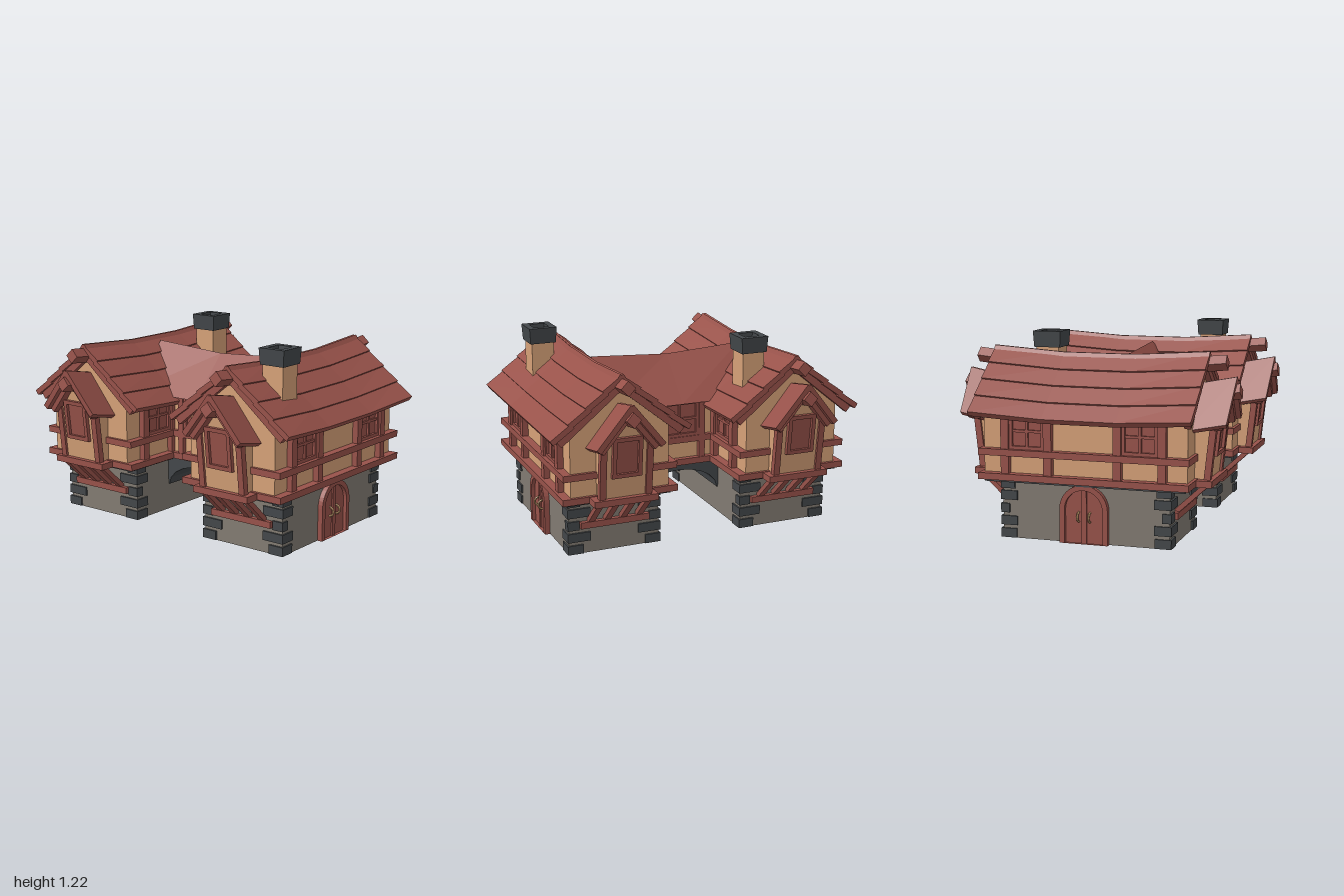
import * as THREE from 'three';

const paint = (name, color) => new THREE.MeshStandardMaterial({ name, color, flatShading: true });
const wood = paint('red wood', 0x98524a);
const plaster = paint('tan plaster', 0xd6a178);
const stone = paint('grey stone', 0x827b72);
const slate = paint('dark stone', 0x43474a);
const brass = paint('pale brass', 0xc9a070);

function add(parent, name, geo, mat) {
  const mesh = new THREE.Mesh(geo, mat);
  mesh.name = name;
  parent.add(mesh);
  return mesh;
}

// Box given by its centre, with the position baked in
const boxGeo = (w, h, d, x, y, z) => new THREE.BoxGeometry(w, h, d).translate(x, y, z);
const box = (parent, name, mat, w, h, d, x, y, z) => add(parent, name, boxGeo(w, h, d, x, y, z), mat);

function bend(geo, rule) {
  const p = geo.attributes.position, v = new THREE.Vector3();
  for (let i = 0; i < p.count; i++) {
    rule(v.fromBufferAttribute(p, i));
    p.setXYZ(i, v.x, v.y, v.z);
  }
  geo.computeVertexNormals();
  return geo;
}

const polygon = pts => new THREE.Shape(pts.map(([x, y]) => new THREE.Vector2(x, y)));

// Profile drawn in (z, y), extruded along x between two limits
function alongX(shape, x0, x1) {
  return new THREE.ExtrudeGeometry(shape, { depth: x1 - x0, bevelEnabled: false, curveSegments: 12 })
    .rotateY(-Math.PI / 2).translate(x1, 0, 0);
}

function archShape(r, straight, Kind = THREE.Shape) {
  const s = new Kind();
  s.moveTo(-r, 0);
  s.lineTo(r, 0);
  s.lineTo(r, straight);
  s.absarc(0, straight, r, 0, Math.PI, false);
  s.lineTo(-r, 0);
  return s;
}

// Four-pane window facing +z, centred on its origin
function windowPanel(w, h) {
  const g = new THREE.Group();
  g.name = 'window';
  box(g, 'pane', wood, w, h, 0.008, 0, 0, 0.004);
  for (const s of [-1, 1]) {
    box(g, 'windowSide', wood, 0.02, h, 0.025, s * (w / 2 - 0.01), 0, 0.012);
    box(g, 'windowRail', wood, w, 0.02, 0.025, 0, s * (h / 2 - 0.01), 0.012);
  }
  box(g, 'upright', wood, 0.016, h, 0.02, 0, 0, 0.01);
  box(g, 'crossbar', wood, w, 0.016, 0.02, 0, 0, 0.01);
  return g;
}

// Overhanging bay on the +x gable
function bay() {
  const g = new THREE.Group();
  g.name = 'bay';
  const lean = geo => bend(geo, v => { v.x += (v.y - 0.38) * 0.11; });
  const wall = polygon([[-0.15, 0.38], [0.15, 0.38], [0.15, 0.75], [0, 0.93], [-0.15, 0.75]]);
  add(g, 'bayWall', lean(alongX(wall, 0.58, 0.71)), plaster);
  for (const s of [-1, 1]) {
    add(g, 'bayPost', lean(boxGeo(0.04, 0.38, 0.04, 0.705, 0.57, s * 0.145)), wood);
    add(g, 'bayWindowSide', lean(boxGeo(0.03, 0.25, 0.025, 0.72, 0.655, s * 0.08)), wood);
    add(g, 'bayWindowRail', lean(boxGeo(0.03, 0.025, 0.185, 0.72, 0.655 + s * 0.113, 0)), wood);
    // tilted roof board and the rafter beneath it
    for (const [name, x, w, drop, len] of [['bayRoof', 0.715, 0.23, 0, 0.325], ['bayRafter', 0.775, 0.05, 0.035, 0.27]]) {
      const geo = new THREE.BoxGeometry(w, 0.035, len).rotateX(s * 0.89)
        .translate(x, 0.838 - drop, s * (0.098 - drop * 0.3));
      add(g, name, bend(geo, v => { v.y += (v.x - 0.75) * 0.2; v.x += (v.y - 0.75) * 0.06; }), wood);
    }
  }
  add(g, 'bayPane', lean(boxGeo(0.008, 0.23, 0.16, 0.712, 0.655, 0)), wood);
  box(g, 'baySill', wood, 0.17, 0.04, 0.4, 0.66, 0.38, 0);
  // ridge beam end
  add(g, 'bayRidgeEnd', new THREE.BoxGeometry(0.15, 0.065, 0.065).rotateX(Math.PI / 4).rotateZ(0.15).translate(0.795, 0.895, 0), wood);
  // struts standing on a ledge
  box(g, 'ledge', wood, 0.03, 0.04, 0.44, 0.535, 0.185, 0);
  for (let i = 0; i < 4; i++) {
    add(g, 'strut', new THREE.BoxGeometry(0.25, 0.03, 0.04).rotateZ(0.75)
      .translate(0.612, 0.285, -0.155 + i * 0.103), wood);
  }
  return g;
}

function chimney(x, z) {
  const g = new THREE.Group();
  g.name = 'chimney';
  box(g, 'chimneyStack', plaster, 0.145, 0.32, 0.145, 0, 0.98, 0);
  const rim = polygon([[-0.09, -0.09], [0.09, -0.09], [0.09, 0.09], [-0.09, 0.09]]);
  rim.holes.push(polygon([[-0.05, -0.05], [-0.05, 0.05], [0.05, 0.05], [0.05, -0.05]]));
  const cap = new THREE.ExtrudeGeometry(rim, { depth: 0.1, bevelEnabled: false }).rotateX(-Math.PI / 2).translate(0, 1.117, 0);
  add(g, 'chimneyCap', bend(cap, v => { if (v.y < 1.15) { v.x *= 0.93; v.z *= 0.93; } }), slate);
  box(g, 'flue', slate, 0.12, 0.04, 0.12, 0, 1.145, 0);
  g.position.set(x, 0, z);
  return g;
}

function door() {
  const g = new THREE.Group();
  g.name = 'door';
  const frame = archShape(0.15, 0.205);
  frame.holes.push(archShape(0.118, 0.205, THREE.Path));
  const opts = depth => ({ depth, bevelEnabled: false, curveSegments: 10 });
  add(g, 'doorFrame', new THREE.ExtrudeGeometry(frame, opts(0.035)), wood);
  add(g, 'doorLeaves', new THREE.ExtrudeGeometry(archShape(0.12, 0.205), opts(0.012)), wood);
  box(g, 'doorPost', wood, 0.03, 0.32, 0.02, 0, 0.16, 0.012);
  for (const s of [-1, 1]) {
    add(g, 'doorHandle', new THREE.TorusGeometry(0.028, 0.007, 5, 8, Math.PI).rotateZ(-Math.PI / 2)
      .rotateY(-Math.PI / 2).translate(s * 0.035, 0.16, 0.012), brass);
  }
  g.position.z = 0.288;
  return g;
}

function house(chimneyZ) {
  const g = new THREE.Group();
  // stone ground floor with corner blocks
  box(g, 'groundFloor', stone, 1.04, 0.36, 0.58, 0, 0.18, 0);
  const lx = [0.1, 0.105, 0.055, 0.105, 0.09], lz = [0.1, 0.145, 0.075, 0.145, 0.08];
  const ys = [0.03, 0.107, 0.183, 0.262, 0.332];
  for (const sx of [-1, 1]) for (const sz of [-1, 1]) ys.forEach((y, i) =>
    box(g, 'cornerBlock', slate, lx[i], 0.056, lz[i], sx * (0.532 - lx[i] / 2), y, sz * (0.3 - lz[i] / 2)));
  g.add(door());
  // timber-framed upper floor
  box(g, 'floorSlab', slate, 1.24, 0.02, 0.66, 0, 0.357, 0);
  box(g, 'bottomBeam', wood, 1.3, 0.04, 0.73, 0, 0.383, 0);
  const gable = polygon([[-0.31, 0.39], [0.31, 0.39], [0.31, 0.79], [0, 1.06], [-0.31, 0.79]]);
  add(g, 'upperWall', alongX(gable, -0.63, 0.63), plaster);
  for (const s of [-1, 1]) {
    box(g, 'middleBeam', wood, 1.3, 0.04, 0.05, 0, 0.53, s * 0.335);
    box(g, 'gableBeam', wood, 0.04, 0.04, 0.72, s * 0.63, 0.53, 0);
    for (const x of [-0.485, -0.215, 0.215, 0.485]) {
      box(g, 'post', wood, 0.05, 0.39, 0.04, x, 0.595, s * 0.328);
    }
    for (const x of [-0.35, 0.35]) {
      const w = windowPanel(0.22, 0.22);
      w.position.set(x, 0.66, s * 0.31);
      if (s < 0) w.rotation.y = Math.PI;
      g.add(w);
    }
    // ridge beam end
    add(g, 'ridgeEnd', new THREE.BoxGeometry(0.2, 0.065, 0.065).rotateX(Math.PI / 4)
      .rotateZ(s * 0.1).translate(s * 0.685, 1.062, 0), wood);
  }
  // overlapping roof boards, sagging in the middle
  const sag = v => { if (Math.abs(v.x) < 0.3) { v.y -= 0.03; v.z *= 0.935; } };
  const slope = Math.atan2(0.35, 0.43);
  for (const s of [-1, 1]) {
    for (let i = 0; i < 4; i++) {
      const t = (i + 0.5) / 4;
      const geo = new THREE.BoxGeometry(1.36, 0.034, 0.158, 3, 1, 1).rotateX(s * (slope - 0.07))
        .translate(0, 1.118 - 0.35 * t, s * (0.43 * t - 0.008));
      add(g, 'roofBoard', bend(geo, sag), wood);
    }
    for (const x of [-0.645, 0.645]) {
      add(g, 'rafter', new THREE.BoxGeometry(0.04, 0.045, 0.5).rotateX(s * slope)
        .translate(x, 0.905, s * 0.19), wood);
    }
  }
  const right = bay(), left = bay();
  left.rotation.y = Math.PI;
  g.add(right, left, chimney(-0.38, chimneyZ));
  return g;
}

// Covered bridge joining the two houses
function bridge() {
  const g = new THREE.Group();
  g.name = 'bridge';
  const arch = new THREE.Shape();
  arch.moveTo(-0.3, 0.37);
  arch.lineTo(-0.3, 0.17);
  arch.lineTo(-0.272, 0.17);
  for (let i = 1; i <= 10; i++) {
    const a = Math.PI * (1 - i / 10);
    arch.lineTo(0.272 * Math.cos(a), 0.17 + 0.15 * Math.sin(a));
  }
  arch.lineTo(0.3, 0.17);
  arch.lineTo(0.3, 0.37);
  add(g, 'bridgeArch', alongX(arch, -0.2, 0.2), slate);
  box(g, 'bridgeWall', plaster, 0.4, 0.42, 0.56, 0, 0.59, 0);
  box(g, 'bridgeBottomBeam', wood, 0.47, 0.04, 0.56, 0, 0.383, 0);
  box(g, 'bridgeMiddleBeam', wood, 0.46, 0.04, 0.5, 0, 0.53, 0);
  for (const s of [-1, 1]) {
    for (const z of [-0.15, 0.15]) box(g, 'bridgePost', wood, 0.04, 0.39, 0.04, s * 0.21, 0.595, z);
    const w = windowPanel(0.26, 0.23);
    w.position.set(s * 0.2, 0.665, 0);
    w.rotation.y = s * Math.PI / 2;
    g.add(w);
  }
  const roof = new THREE.ExtrudeGeometry(polygon([[-0.26, 0.775], [0.26, 0.775], [0, 1.075]]),
    { depth: 1.02, steps: 2, bevelEnabled: false }).translate(0, 0, -0.51);
  add(g, 'bridgeRoof', bend(roof, v => { if (v.y > 1 && Math.abs(v.z) < 0.1) v.y -= 0.03; }), wood);
  g.position.x = -0.02;
  return g;
}

export function createModel() {
  const model = new THREE.Group();
  model.name = 'twinHouses';
  const front = house(0.16), back = house(-0.18);
  front.name = 'frontHouse';
  back.name = 'backHouse';
  front.position.set(-0.01, 0, 0.57);
  back.position.set(-0.01, 0, -0.57);
  back.rotation.y = Math.PI;
  model.add(front, back, bridge());
  return model;
}
